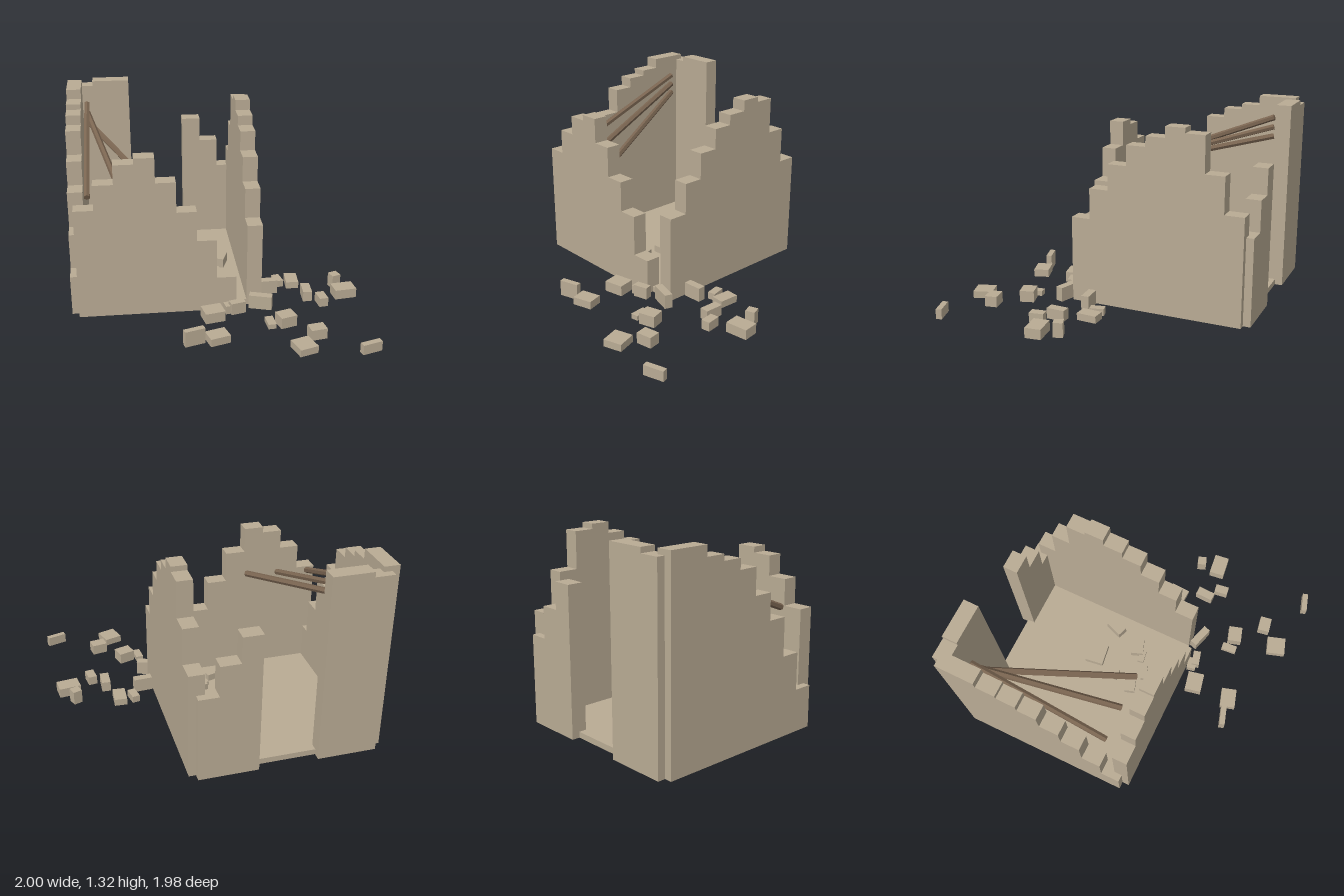
import * as THREE from 'three';

export function createModel() {
  const root = new THREE.Group();
  const stone = new THREE.MeshStandardMaterial({ color: 0xb9ab94 });
  stone.name = 'sandstone';
  const wood = new THREE.MeshStandardMaterial({ color: 0x7a6551 });
  wood.name = 'old timber';

  const STEP = 0.135;  // width of one crumbled step
  const THICK = 0.105; // wall thickness

  const add = (name, geometry, material, parent = root) => {
    const mesh = new THREE.Mesh(geometry, material);
    mesh.name = name;
    parent.add(mesh);
    return mesh;
  };

  // A ruined wall: stepped outline, extruded to the wall thickness
  const wall = (name, heights) => {
    const shape = new THREE.Shape();
    shape.moveTo(0, 0);
    heights.forEach((h, i) => {
      shape.lineTo(i * STEP, h);
      shape.lineTo((i + 1) * STEP, h);
    });
    shape.lineTo(heights.length * STEP, 0);
    shape.closePath();
    return add(name, new THREE.ExtrudeGeometry(shape, { depth: THICK, bevelEnabled: false }), stone);
  };

  // Front and back walls run along x
  wall('frontWall', [0.79, 0.965, 1.1, 1.14, 0.965, 0.75, 0.535, 0.25]).position.set(-0.95, 0, 0.217);
  wall('backWallLeftPart', [1.285, 1.32, 1.32]).position.set(-0.95, 0, -0.995);
  wall('backWallRightPart', [1.0, 0.82, 0.605]).position.set(-0.14, 0, -0.995);

  // Side walls run along z, listed from back to front
  const sides = [
    ['westWall', -0.895, [1.32, 1.32, 1.25, 1.21, 1.14, 0.965, 0.79, 0.535, 0.285]],
    ['eastWall', 0.313, [0.75, 1.0, 1.25, 1.285, 1.21, 1.14, 1.0, 0.82, 0.605]],
  ];
  for (const [name, x, heights] of sides) {
    const side = wall(name, heights);
    side.rotation.y = -Math.PI / 2;
    side.position.set(x, 0, -0.943);
  }

  // Floor slab
  const FLOOR = 0.04;
  add('floor', new THREE.BoxGeometry(1.215, FLOOR, 1.215), stone).position.set(-0.343, FLOOR / 2, -0.335);

  // Fallen roof beams fanning out from the back corner
  const beams = new THREE.Group();
  beams.name = 'roofBeams';
  root.add(beams);
  const up = new THREE.Vector3(0, 1, 0);
  for (const [topY, endX, endY] of [[1.175, -0.86, 0.805], [1.105, -0.63, 0.82], [1.035, -0.4, 0.835]]) {
    const a = new THREE.Vector3(-0.86, topY, -0.8);
    const b = new THREE.Vector3(endX, endY, 0.13);
    const dir = b.clone().sub(a);
    const geometry = new THREE.CylinderGeometry(0.022, 0.022, dir.length(), 6).toNonIndexed();
    geometry.computeVertexNormals();
    const beam = add('beam', geometry, wood, beams);
    beam.position.copy(a).add(b).multiplyScalar(0.5);
    beam.quaternion.setFromUnitVectors(up, dir.normalize());
  }

  // Rubble blocks: x, z, width, depth, height, turn in degrees
  const rubble = (name, base, blocks) => {
    const group = new THREE.Group();
    group.name = name;
    root.add(group);
    for (const [x, z, w, d, h, turn] of blocks) {
      const block = add('block', new THREE.BoxGeometry(w, h, d), stone, group);
      block.position.set(x, base + h / 2, z);
      block.rotation.y = THREE.MathUtils.degToRad(turn);
    }
  };
  rubble('rubbleInside', FLOOR, [
    [-0.16, -0.33, 0.155, 0.135, 0.05, 8],
    [0.09, -0.285, 0.075, 0.13, 0.07, -20],
    [-0.25, -0.16, 0.075, 0.105, 0.05, 5],
    [-0.28, 0.01, 0.1, 0.075, 0.05, 18],
    [-0.14, 0.06, 0.115, 0.04, 0.05, 17],
    [0.015, -0.07, 0.115, 0.09, 0.06, 20],
    [-0.035, -0.01, 0.085, 0.045, 0.03, 10],
  ]);
  rubble('rubbleOutside', 0, [
    [0.475, 0.005, 0.055, 0.1, 0.05, 12],
    [0.575, 0.015, 0.09, 0.14, 0.05, -3],
    [0.385, 0.115, 0.13, 0.055, 0.1, 3],
    [0.645, 0.215, 0.063, 0.13, 0.075, -2],
    [0.735, 0.315, 0.063, 0.1, 0.065, 8],
  ]);
  rubble('rubbleScattered', 0, [
    [0.88, 0.08, 0.065, 0.065, 0.1, 20],
    [0.915, 0.215, 0.155, 0.11, 0.07, 7],
    [0.3, 0.325, 0.16, 0.055, 0.1, -17],
    [0.13, 0.37, 0.105, 0.055, 0.085, 15],
    [0.085, 0.355, 0.085, 0.065, 0.06, 12],
    [-0.045, 0.435, 0.14, 0.12, 0.075, 12],
    [0.33, 0.56, 0.055, 0.11, 0.035, 5],
    [0.435, 0.56, 0.115, 0.1, 0.08, 17],
    [0.61, 0.735, 0.11, 0.085, 0.075, 10],
    [-0.045, 0.715, 0.14, 0.11, 0.055, 17],
    [-0.2, 0.735, 0.14, 0.04, 0.112, 17],
    [0.495, 0.88, 0.13, 0.135, 0.05, 18],
    [0.915, 0.945, 0.14, 0.04, 0.07, 17],
  ]);

  return root;
}
